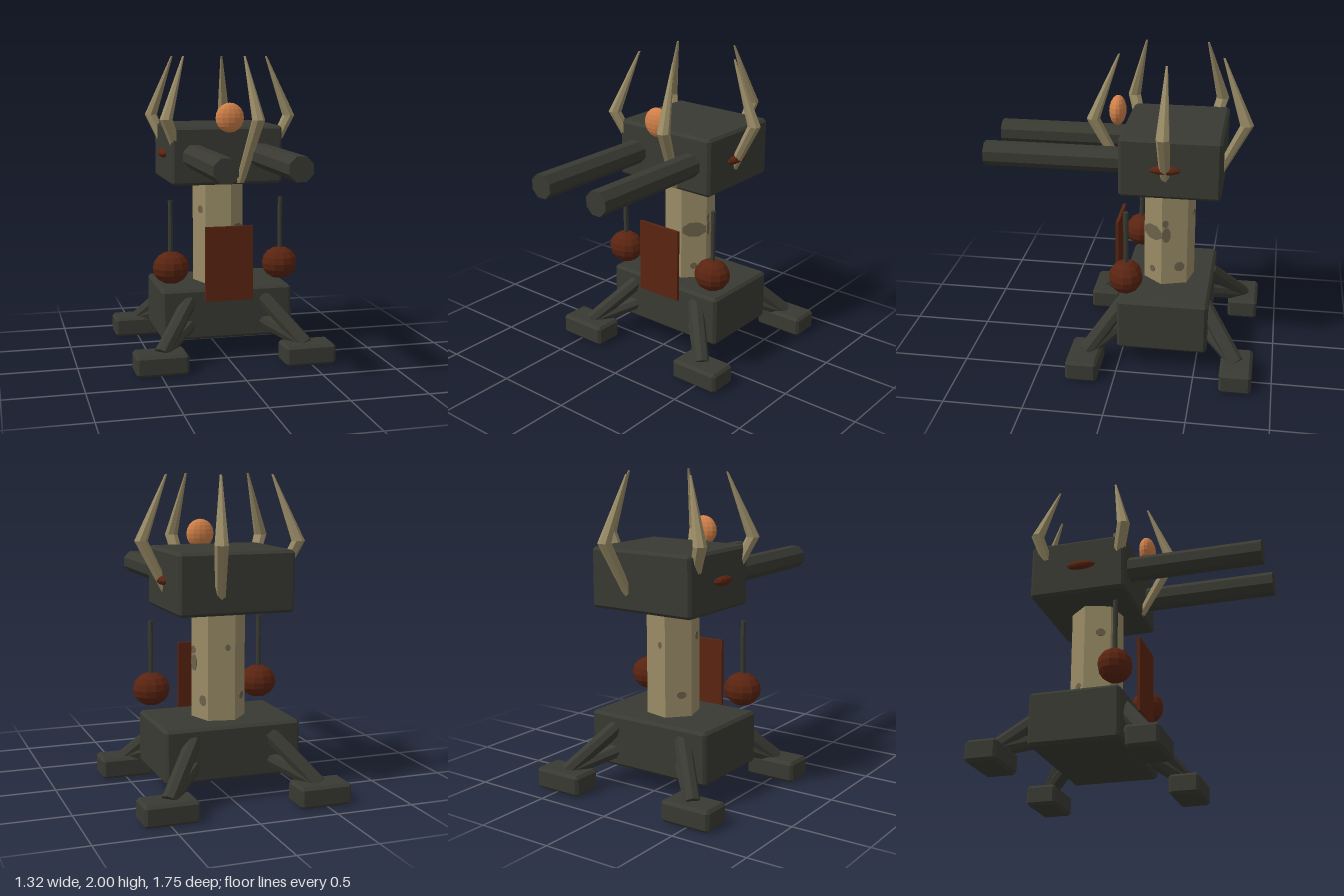
import * as THREE from 'three';
import { ConvexGeometry } from 'three/addons/geometries/ConvexGeometry.js';

const CZ = -0.285; // z of the vertical axis of column and base

export function createModel() {
  const model = new THREE.Group();
  model.name = 'hornedTurret';

  const paint = (name, color) => {
    const m = new THREE.MeshStandardMaterial({ color, flatShading: true });
    m.name = name;
    return m;
  };
  const iron = paint('darkIron', 0x393a32);
  const bone = paint('bone', 0x998b66);
  const stain = paint('boneStain', 0x6b614a);
  const red = paint('driedRed', 0x5a2411);
  const orange = paint('orange', 0xd08049);

  const add = (name, geometry, material, x = 0, y = 0, z = 0) => {
    const mesh = new THREE.Mesh(geometry, material);
    mesh.name = name;
    mesh.position.set(x, y, z);
    model.add(mesh);
    return mesh;
  };

  // Box with chamfered edges: each corner becomes three points
  const chamferBox = (w, h, d, c) => {
    const points = [];
    for (const sx of [-1, 1]) for (const sy of [-1, 1]) for (const sz of [-1, 1]) {
      for (let axis = 0; axis < 3; axis++) {
        points.push(new THREE.Vector3(
          sx * (w / 2 - (axis === 0 ? 0 : c)),
          sy * (h / 2 - (axis === 1 ? 0 : c)),
          sz * (d / 2 - (axis === 2 ? 0 : c))));
      }
    }
    return new ConvexGeometry(points);
  };

  // Round bar between two points
  const bar = (name, from, to, radius, sides, material) => {
    const a = new THREE.Vector3(...from), b = new THREE.Vector3(...to);
    const dir = b.clone().sub(a);
    const mid = a.clone().add(b).multiplyScalar(0.5);
    const mesh = add(name, new THREE.CylinderGeometry(radius, radius, dir.length(), sides), material, mid.x, mid.y, mid.z);
    mesh.quaternion.setFromUnitVectors(new THREE.Vector3(0, 1, 0), dir.normalize());
    return mesh;
  };

  const ellipsoid = (rx, ry, rz, w = 12, h = 8) => new THREE.SphereGeometry(1, w, h).scale(rx, ry, rz);

  // Base block with four splayed legs
  add('base', chamferBox(0.88, 0.34, 0.58, 0.018), iron, 0, 0.31, CZ);
  for (const sx of [-1, 1]) for (const sz of [-1, 1]) {
    add('foot', chamferBox(0.34, 0.135, 0.203, 0.018), iron, sx * 0.49, 0.0675, CZ + sz * 0.488);
    const ankle = [sx * 0.48, 0.12, CZ + sz * 0.485];
    bar('upperStrut', [sx * 0.25, 0.4, CZ + sz * 0.255], ankle, 0.052, 8, iron);
    bar('lowerStrut', [sx * 0.25, 0.24, CZ + sz * 0.255], ankle, 0.048, 8, iron);
  }

  // Six-sided bone column
  const turn = THREE.MathUtils.degToRad(18), R = 0.17;
  add('column', new THREE.CylinderGeometry(R, R, 0.74, 6, 1, false, turn), bone, 0, 0.83, CZ);

  // Stains on the column: [face, offset along face, height, width, tall]
  const apothem = R * Math.cos(Math.PI / 6);
  const stains = [
    [0, 0.002, 0.83, 0.16, 0.1], [1, -0.055, 0.83, 0.055, 0.1], [1, -0.062, 0.91, 0.04, 0.05],
    [1, 0.035, 0.6, 0.065, 0.065], [0, 0, 0.565, 0.045, 0.045], [3, 0.02, 0.62, 0.06, 0.045],
    [2, 0.04, 0.94, 0.03, 0.04], [4, 0.02, 0.98, 0.06, 0.05],
  ];
  for (const [face, offset, y, w, h] of stains) {
    const t = turn + Math.PI / 6 + face * Math.PI / 3;
    const plate = new THREE.CylinderGeometry(0.5, 0.5, 0.004, 8, 1, false, Math.PI / 8)
      .rotateX(Math.PI / 2).scale(w * 1.08, h * 1.08, 1)
      .translate(offset, 0, apothem + 0.001).rotateY(t);
    add('columnStain', plate, stain, 0, y, CZ);
  }

  // Head block with twin barrels
  add('head', chamferBox(0.74, 0.38, 0.635, 0.018), iron, 0, 1.36, -0.313);
  for (const s of [-1, 1]) {
    const barrel = new THREE.CylinderGeometry(0.08, 0.08, 0.925, 8, 1, false, Math.PI / 8).rotateX(Math.PI / 2);
    add('barrel', barrel, iron, s * 0.222, 1.36, 0.4125);
    add('sideEye', ellipsoid(0.04, 0.03, 0.1, 10, 6), red, s * 0.368, 1.36, CZ);
    // Hanging weights beside the column
    add('weight', ellipsoid(0.122, 0.108, 0.108), red, s * 0.371, 0.627, -0.047);
    bar('weightRod', [s * 0.373, 0.63, -0.047], [s * 0.373, 1.07, -0.047], 0.016, 8, iron);
  }

  // Front panel and orange orb
  add('frontPanel', new THREE.BoxGeometry(0.32, 0.495, 0.02), red, 0, 0.653, 0.043);
  add('orb', ellipsoid(0.094, 0.096, 0.054, 14, 10), orange, 0, 1.61, 0.06);

  // Ring of five bent horns; rings are [distance from axis, height, radius]
  const rings = [[0.285, 1.18, 0.03], [0.5, 1.6, 0.043], [0.337, 2.0, 0.007]];
  for (let i = 0; i < 5; i++) {
    const horn = new THREE.CylinderGeometry(1, 1, 2, 7, 2);
    const p = horn.attributes.position;
    for (let k = 0; k < p.count; k++) {
      const [out, y, r] = rings[Math.round(p.getY(k) + 1)];
      p.setXYZ(k, out + p.getX(k) * r, y, p.getZ(k) * r);
    }
    horn.computeVertexNormals();
    add('horn', horn, bone, 0, 0, CZ).rotation.y = i * Math.PI * 2 / 5;
  }
  return model;
}
